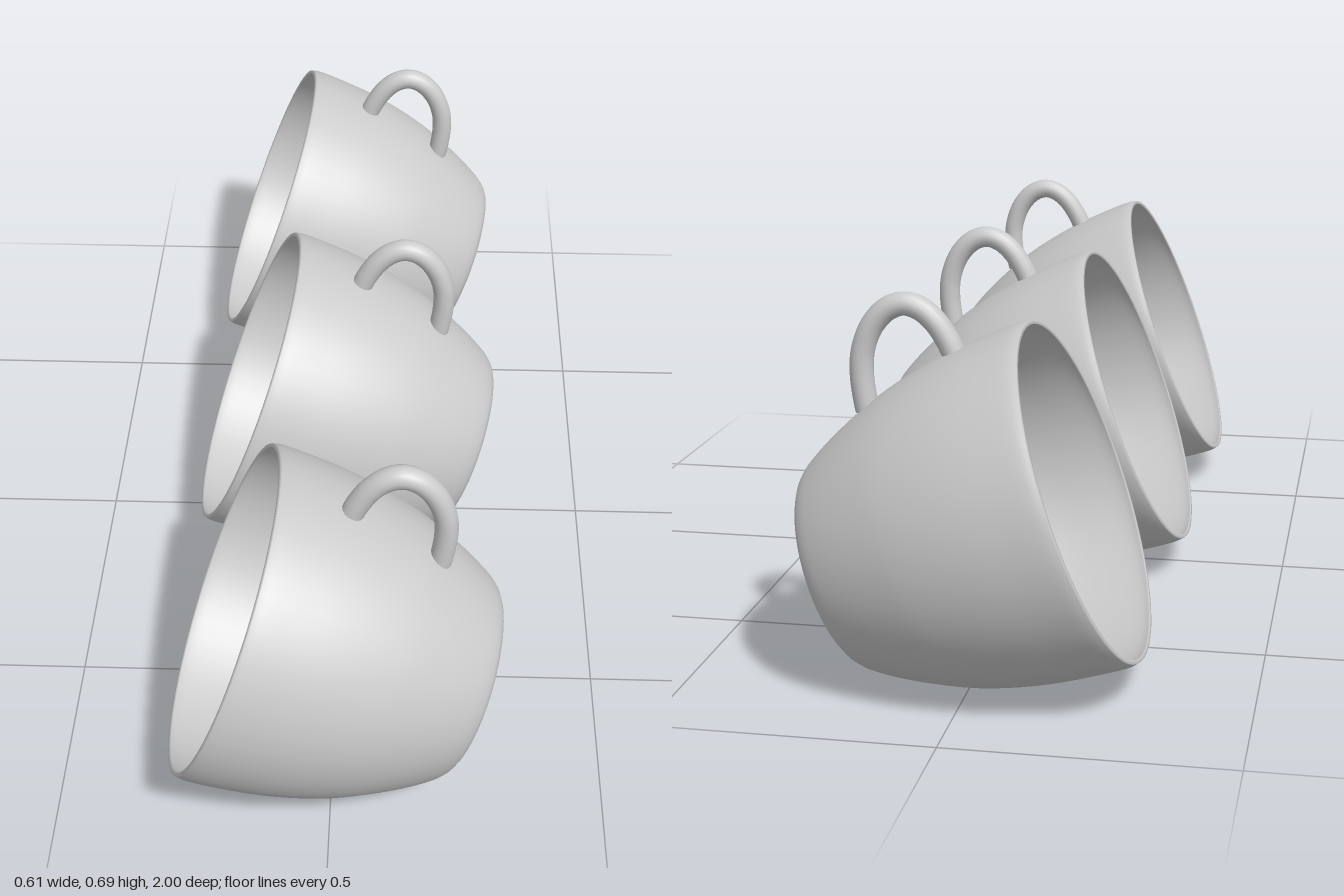
import * as THREE from 'three';

const material = new THREE.MeshStandardMaterial({ color: 0xcccccc, side: THREE.DoubleSide });
const RIM = new THREE.Vector3(-0.198, 0.356, 0); // centre of the cup's mouth
const TILT = 1.213; // mouth turned towards -x, base towards +x
const THICKNESS = 0.007;

// Thin-walled bowl: [radius, distance from the mouth], from base to rim
function cupBody() {
  const toPoint = ([r, d]) => new THREE.Vector2(r, -d);
  const base = [[0, 0.477], [0.158, 0.477], [0.162, 0.4765], [0.175, 0.473]];
  const wall = [
    [0.184, 0.467], [0.2, 0.447], [0.2255, 0.4], [0.252, 0.34], [0.274, 0.28],
    [0.2915, 0.21], [0.303, 0.14], [0.309, 0.07], [0.311, 0.02], [0.308, 0],
  ];
  const outside = [
    ...base.map(toPoint),
    ...new THREE.SplineCurve(wall.map(toPoint)).getPoints(32),
  ];
  // The inside follows the outside back down to the floor
  const inside = outside
    .map((p) => new THREE.Vector2(Math.max(p.x - THICKNESS, 0), p.y * 0.985))
    .reverse();
  const body = new THREE.Mesh(new THREE.LatheGeometry([...outside, ...inside], 64), material);
  body.name = 'cupBody';
  body.rotation.z = TILT;
  body.position.copy(RIM);
  return body;
}

// Loop handle whose ends meet the wall, slightly wider than thick
function cupHandle() {
  const path = new THREE.CatmullRomCurve3([
    [0.036, 0.592], [0.044, 0.609], [0.066, 0.642], [0.092, 0.664], [0.12, 0.672],
    [0.15, 0.662], [0.178, 0.632], [0.195, 0.588], [0.198, 0.545], [0.191, 0.49], [0.189, 0.482],
  ].map(([x, y]) => new THREE.Vector3(x, y, 0)));
  const handle = new THREE.Mesh(new THREE.TubeGeometry(path, 48, 0.021, 16), material);
  handle.name = 'handle';
  handle.scale.z = 1.08;
  return handle;
}

export function createModel() {
  const group = new THREE.Group();
  group.name = 'rowOfCups';
  // Three identical cups side by side
  [-0.688, 0, 0.688].forEach((z, i) => {
    const cup = new THREE.Group();
    cup.name = `cup${i + 1}`;
    cup.add(cupBody(), cupHandle());
    cup.position.z = z;
    group.add(cup);
  });
  return group;
}
